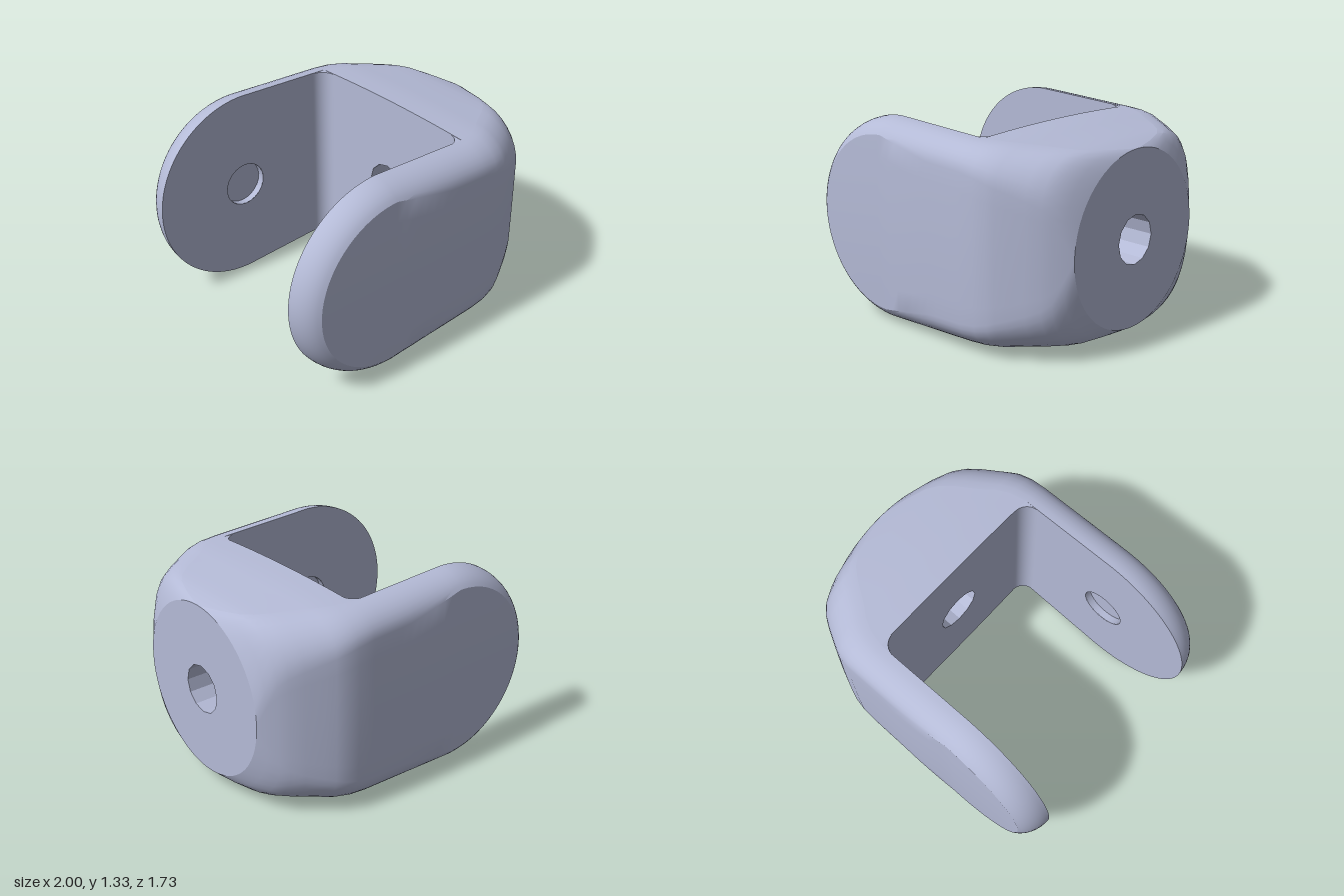
import * as THREE from 'three';
import { toCreasedNormals } from 'three/addons/utils/BufferGeometryUtils.js';

const INNER = 0.65;      // half gap between the arms
const WALL = 0.37;       // x of the inner wall
const HOLE = 0.158;
const PIVOT = -0.335;    // x of the arm end centre
const BEVEL = 8, ACROSS = 8;

// Skin a grid of cross-sections
function skin(rows, crease) {
  const n = rows[0].length, index = [];
  for (let i = 0; i < rows.length - 1; i++) {
    for (let j = 0; j < n - 1; j++) {
      const a = i * n + j, b = a + 1, c = a + n, d = c + 1;
      index.push(a, b, c, b, d, c);
    }
  }
  const g = new THREE.BufferGeometry();
  g.setAttribute('position', new THREE.Float32BufferAttribute(rows.flat(2), 3));
  g.setIndex(index);
  return toCreasedNormals(g, crease);
}

// Section from the top edge, over the bevel, across the side and mirrored below.
// (nx, ny) points inward from the outline point (x, y).
function section(x, y, nx, ny, ry, rz, z0, amax) {
  const upper = [];
  for (let k = 0; k <= BEVEL; k++) {
    const a = amax * k / BEVEL, d = ry * (1 - Math.cos(a));
    upper.push([x + nx * d, y + ny * d, z0 + rz * Math.sin(a)]);
  }
  const [ex, ey, ez] = upper[BEVEL], side = [];
  for (let m = 1; m < ACROSS; m++) {
    const t = 1 - 2 * m / ACROSS;
    const crown = x > 0.99 ? 0 : 0.012 * (ey / 0.56) ** 2 * (1 - t * t) * Math.min(1, (1 - x) * 2);
    side.push([ex, ey * t, ez + crown]);
  }
  const lower = upper.map(([px, py, pz]) => [px, -py, pz]).reverse();
  return [...upper, ...side, ...lower];
}

export function createModel() {
  const metal = new THREE.MeshStandardMaterial({ color: 0xb4bad6, side: THREE.DoubleSide });
  metal.name = 'paleBlueGrey';
  const model = new THREE.Group();
  model.name = 'forkBracket';
  const add = (parent, geometry, name) => {
    const mesh = new THREE.Mesh(geometry, metal);
    mesh.name = name;
    parent.add(mesh);
  };

  // Arm: rounded end, then a gently tapering straight
  const rows = [], outline = [];
  for (let i = 0; i <= 28; i++) {
    const a = i / 28 * Math.PI / 2, c = Math.cos(a), s = Math.sin(a);
    const x = PIVOT - 0.665 * c, y = 0.665 * s;
    outline.push([x, y]);
    rows.push(section(x, y, c, -s, 0.165, 0.207, INNER, THREE.MathUtils.degToRad(65)));
  }
  for (let i = 1; i <= 10; i++) {
    const t = i / 10, x = THREE.MathUtils.lerp(PIVOT, WALL, t), y = 0.665 - 0.033 * t;
    outline.push([x, y]);
    const angle = 65 + 25 * Math.min(1, t * 1.6);
    rows.push(section(x, y, 0, -1, 0.165, 0.207, INNER, THREE.MathUtils.degToRad(angle)));
  }

  // Yoke: rounded rectangle turning into the round end face [x, height, width, ry, rz]
  const stations = [
    [WALL, 0.632, 0.857, 0.165, 0.207], [0.48, 0.63, 0.855, 0.18, 0.23],
    [0.57, 0.625, 0.84, 0.20, 0.26], [0.62, 0.62, 0.82, 0.215, 0.28],
    [0.68, 0.614, 0.79, 0.23, 0.29], [0.78, 0.604, 0.738, 0.26, 0.30],
    [0.86, 0.595, 0.69, 0.29, 0.315], [0.91, 0.587, 0.65, 0.33, 0.345],
    [0.96, 0.574, 0.603, 0.42, 0.44], [1, 0.562, 0.562, 0.562, 0.562],
  ];
  const top = [];
  stations.forEach(([x, h, w, ry, rz], i) => {
    const z0 = w - rz;
    if (i > 0) rows.push(section(x, h, 0, -1, ry, rz, z0, Math.PI / 2));
    const row = [];
    for (let j = -6; j <= 6; j++) {
      const t = j / 6;
      row.push([x, h + 0.018 * (1 - t * t) * (1 - x) / (1 - WALL), z0 * t]);
    }
    top.push(row);
  });

  // Flat inner face of an arm with a round pocket
  const face = new THREE.Shape([
    ...outline.map(([x, y]) => new THREE.Vector2(x, y)),
    ...outline.slice(1).reverse().map(([x, y]) => new THREE.Vector2(x, -y)),
  ]);
  face.holes.push(new THREE.Path().absarc(PIVOT, 0, 0.15, 0, Math.PI * 2, true));

  // Concave fillet between arm and inner wall
  const r = 0.1;
  const fillet = new THREE.Shape();
  fillet.moveTo(WALL + 0.005, INNER);
  fillet.lineTo(WALL - r, INNER);
  fillet.absarc(WALL - r, INNER - r, r, Math.PI / 2, 0, true);
  fillet.lineTo(WALL + 0.005, INNER - r);
  fillet.closePath();

  // Both halves are the same, turned half a turn about x
  for (const [name, turn] of [['leftHalf', 0], ['rightHalf', Math.PI]]) {
    const half = new THREE.Group();
    half.name = name;
    half.rotation.x = turn;
    add(half, skin(rows, 0.48), 'outerShell');
    add(half, skin(top, 0.6), 'yokeTop');
    add(half, new THREE.ShapeGeometry(face, 24).rotateX(Math.PI).translate(0, 0, INNER), 'armInnerFace');
    add(half, new THREE.CylinderGeometry(0.15, 0.15, 0.05, 24, 1, true)
      .rotateX(Math.PI / 2).translate(PIVOT, 0, INNER + 0.025), 'pocketWall');
    add(half, new THREE.CircleGeometry(0.15, 24).rotateX(Math.PI)
      .translate(PIVOT, 0, INNER + 0.05), 'pocketFloor');
    add(half, toCreasedNormals(new THREE.ExtrudeGeometry(fillet, { depth: 1.264, bevelEnabled: false, curveSegments: 6 })
      .rotateX(Math.PI / 2).translate(0, 0.632, 0), 0.6), 'innerFillet');
    model.add(half);
  }

  // Inner wall and round end face, both pierced by the twelve-sided hole
  const bore = () => {
    const pts = [];
    for (let i = 0; i < 12; i++) {
      const a = -i / 12 * Math.PI * 2;
      pts.push(new THREE.Vector2(HOLE * Math.sin(a), HOLE * Math.cos(a)));
    }
    return new THREE.Path(pts);
  };
  const edge = top[0].map(([, y, z]) => new THREE.Vector2(z, y));
  const wall = new THREE.Shape([...edge, ...edge.map((p) => new THREE.Vector2(-p.x, -p.y))]);
  wall.holes.push(bore());
  add(model, new THREE.ShapeGeometry(wall).rotateY(-Math.PI / 2).translate(WALL, 0, 0), 'innerWall');

  const disc = new THREE.Shape().absarc(0, 0, 0.562, 0, Math.PI * 2);
  disc.holes.push(bore());
  add(model, new THREE.ShapeGeometry(disc, 32).rotateY(Math.PI / 2).translate(1, 0, 0), 'endFace');

  add(model, toCreasedNormals(new THREE.CylinderGeometry(HOLE, HOLE, 1 - WALL, 12, 1, true)
    .rotateZ(Math.PI / 2).rotateX(Math.PI / 2).translate((1 + WALL) / 2, 0, 0), 0.3), 'boreWall');

  model.position.y = 0.665;
  const root = new THREE.Group();
  root.name = 'bracket';
  root.add(model);
  return root;
}
